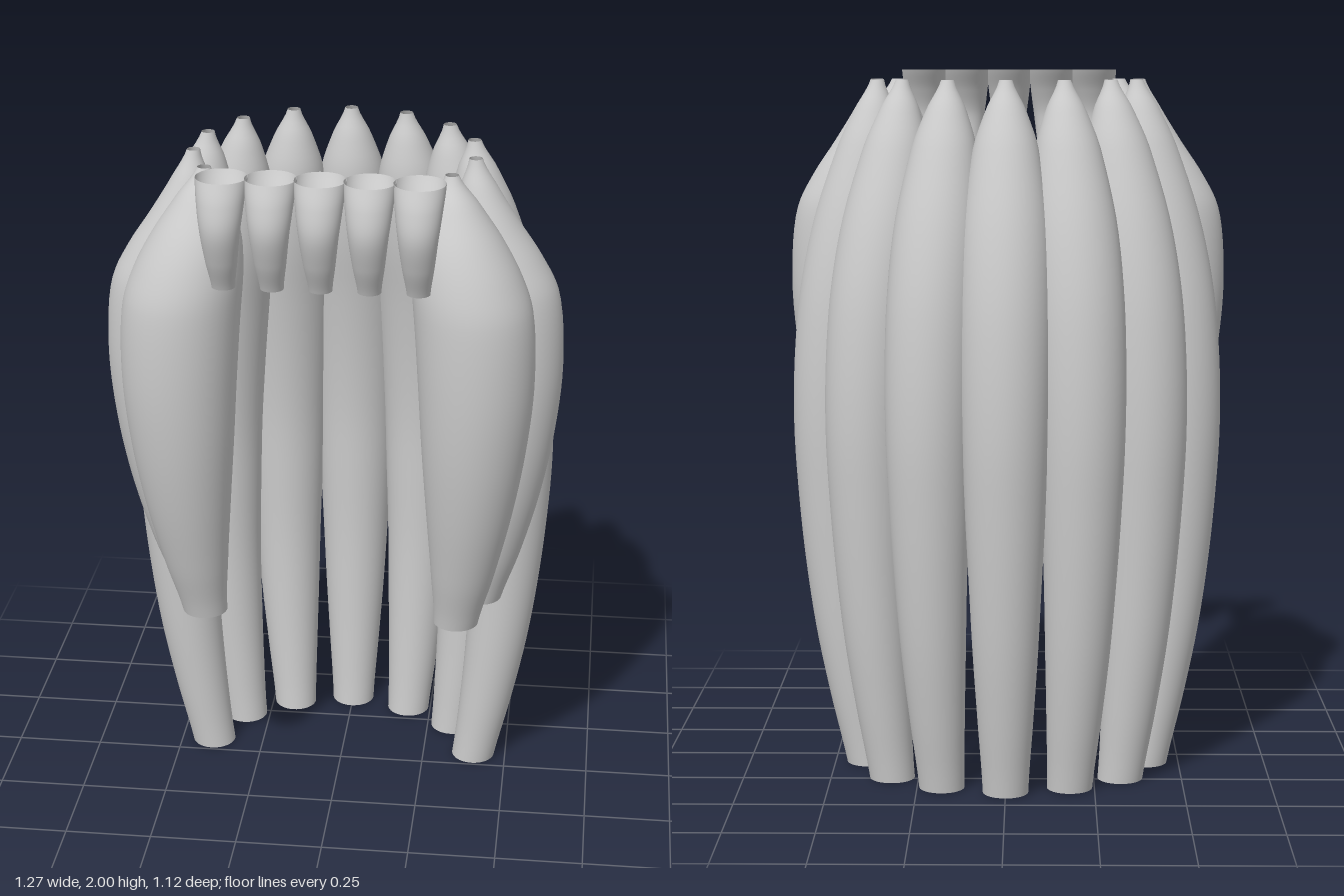
import * as THREE from 'three';

const SIDES = 40;
const STEPS = 48;

// Open tube with level rings; each station is [x, y, z, radius], listed from top to bottom
function levelTube(stations) {
  const path = new THREE.CatmullRomCurve3(
    stations.map(([x, y, z]) => new THREE.Vector3(x, y, z)), false, 'centripetal');
  const radii = new THREE.SplineCurve(stations.map((s, i) => new THREE.Vector2(i, s[3])));
  const pos = [], index = [];
  for (let i = 0; i <= STEPS; i++) {
    const c = path.getPoint(i / STEPS);
    const r = radii.getPoint(i / STEPS).y;
    for (let j = 0; j < SIDES; j++) {
      const a = (j / SIDES) * Math.PI * 2;
      pos.push(c.x + r * Math.sin(a), c.y, c.z + r * Math.cos(a));
      if (i === STEPS) continue;
      const k = (j + 1) % SIDES;
      const p = i * SIDES + j, q = i * SIDES + k;
      index.push(p, p + SIDES, q, q, p + SIDES, q + SIDES);
    }
  }
  const geo = new THREE.BufferGeometry();
  geo.setAttribute('position', new THREE.Float32BufferAttribute(pos, 3));
  geo.setIndex(index);
  geo.computeVertexNormals();
  return geo;
}

// Lock profiles: [y, radius, swing from tip to bulge, swing from bulge to end]
const LONG = [
  [1.975, 0.018, 0, 0], [1.9, 0.053, 0.07, 0], [1.8, 0.088, 0.18, 0], [1.6, 0.119, 0.47, 0],
  [1.4, 0.126, 0.75, 0], [1.2, 0.124, 0.92, 0], [1.0, 0.118, 1, 0], [0.8, 0.11, 1, 0.03],
  [0.6, 0.1, 1, 0.13], [0.4, 0.09, 1, 0.33], [0.2, 0.077, 1, 0.63], [0, 0.064, 1, 1],
];
const SHORT = [
  [1.975, 0.018, 0, 0], [1.9, 0.05, 0.08, 0], [1.8, 0.088, 0.27, 0], [1.7, 0.113, 0.6, 0],
  [1.6, 0.127, 0.87, 0], [1.4, 0.128, 1, 0], [1.2, 0.118, 1, 0.06], [1.0, 0.102, 1, 0.27],
  [0.8, 0.081, 1, 0.62], [0.64, 0.063, 1, 1],
];
const FRONT = [
  [1.975, 0.018, 0, 0], [1.9, 0.065, 0.1, 0], [1.8, 0.117, 0.3, 0], [1.7, 0.147, 0.6, 0],
  [1.6, 0.16, 0.85, 0], [1.4, 0.157, 1, 0], [1.2, 0.142, 1, 0.06], [1.0, 0.118, 1, 0.27],
  [0.8, 0.088, 1, 0.62], [0.64, 0.063, 1, 1],
];

// Each lock on the left side: x,z of its tip, its widest bulge and its lower end
const LOCKS = [
  ['backLock', LONG, [0, -0.28], [0, -0.437], [0, -0.375]],
  ['innerBackLock', LONG, [0.16, -0.245], [0.21, -0.395], [0.18, -0.33]],
  ['outerBackLock', LONG, [0.29, -0.145], [0.385, -0.265], [0.325, -0.235]],
  ['sideLock', LONG, [0.367, -0.005], [0.492, -0.07], [0.402, -0.072]],
  ['shortSideLock', SHORT, [0.38, 0.16], [0.505, 0.157], [0.417, 0.105]],
  ['shortFrontLock', FRONT, [0.327, 0.31], [0.404, 0.333], [0.36, 0.273]],
];

// Fringe curl: [y, z, radius]
const CURL = [
  [2.0, 0.466, 0.068], [1.94, 0.494, 0.062], [1.87, 0.51, 0.053],
  [1.78, 0.494, 0.042], [1.7, 0.467, 0.031],
];

export function createModel() {
  const group = new THREE.Group();
  group.name = 'hair';
  const material = new THREE.MeshStandardMaterial({ color: 0xcccccc, side: THREE.DoubleSide });
  const add = (name, stations) => {
    const mesh = new THREE.Mesh(levelTube(stations), material);
    mesh.name = name;
    group.add(mesh);
  };

  // Ring of hanging locks, mirrored left and right
  for (const [name, profile, tip, bulge, end] of LOCKS) {
    for (const side of tip[0] === 0 ? [1] : [1, -1]) {
      const at = (k, f, w) => tip[k] + (bulge[k] - tip[k]) * f + (end[k] - bulge[k]) * w;
      const prefix = tip[0] === 0 ? 'centre' : side > 0 ? 'left' : 'right';
      add(`${prefix} ${name}`, profile.map(([y, r, f, w]) => [side * at(0, f, w), y, at(1, f, w), r]));
    }
  }

  // Row of five fringe curls over the forehead
  for (let i = -2; i <= 2; i++) {
    add(`fringeCurl${i + 3}`, CURL.map(([y, z, r]) => [i * 0.128, y, z, r]));
  }
  return group;
}
